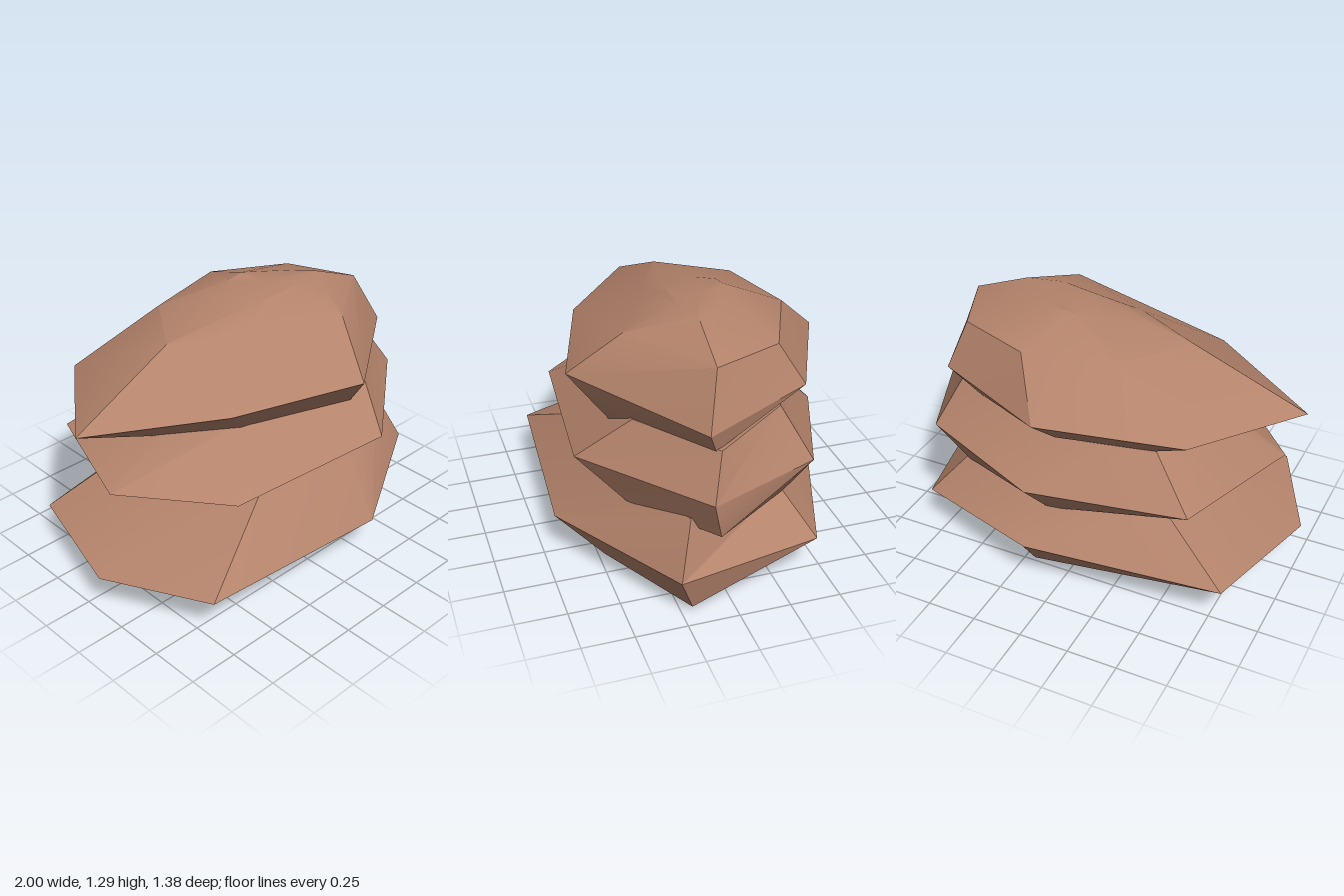
import * as THREE from 'three';
import { toCreasedNormals } from 'three/addons/utils/BufferGeometryUtils.js';

// Each ring runs: left, front-left, front-right, right, back-right, back, back-left
// (as seen from the front). Rings are listed from the bottom up.
const LOWER = [
  [[-0.47, 0.04, 0.08], [-0.31, 0.015, 0.44], [0.4, 0.035, 0.48], [0.91, 0.03, 0.2],
    [0.62, 0.045, -0.31], [0.2, 0.0, -0.48], [-0.5, 0.03, -0.38]],
  [[-1, 0.2, 0.1], [-0.75, 0.215, 0.62], [0.26, 0.21, 0.69], [0.97, 0.215, 0.27],
    [0.82, 0.21, -0.45], [0.14, 0.25, -0.69], [-0.82, 0.2, -0.54]],
  [[-0.47, 0.44, 0.08], [-0.25, 0.46, 0.4], [0.36, 0.45, 0.43], [0.85, 0.475, 0.19],
    [0.64, 0.42, -0.32], [0.12, 0.44, -0.47], [-0.45, 0.44, -0.36]],
];
const MIDDLE = [
  [[-0.47, 0.44, 0.08], [-0.25, 0.45, 0.35], [0.53, 0.41, 0.4], [0.95, 0.42, 0.08],
    [0.64, 0.39, -0.34], [0.1, 0.37, -0.5], [-0.42, 0.4, -0.38]],
  [[-0.89, 0.615, 0.08], [-0.51, 0.595, 0.53], [0.39, 0.61, 0.61], [1, 0.62, 0.13],
    [0.77, 0.62, -0.43], [0.13, 0.575, -0.68], [-0.65, 0.6, -0.57]],
  [[-0.5, 0.79, 0.02], [-0.2, 0.82, 0.28], [0.51, 0.83, 0.36], [0.88, 0.82, 0.06],
    [0.66, 0.87, -0.3], [0.12, 0.83, -0.41], [-0.38, 0.81, -0.36]],
];
const UPPER = [
  [[-0.57, 0.755, 0], [-0.25, 0.79, 0.28], [0.35, 0.76, 0.43], [0.86, 0.81, 0.08],
    [0.55, 0.81, -0.34], [0.06, 0.79, -0.49], [-0.4, 0.78, -0.38]],
  [[-1, 0.93, 0], [-0.43, 0.97, 0.4], [0.24, 0.965, 0.6], [0.9, 0.91, 0.12],
    [0.68, 0.97, -0.41], [0.07, 0.965, -0.69], [-0.61, 0.94, -0.52]],
  [[-0.43, 1.18, -0.03], [-0.1, 1.19, 0.14], [0.35, 1.19, 0.35], [0.77, 1.17, 0.05],
    [0.63, 1.17, -0.29], [0.24, 1.19, -0.46], [-0.2, 1.18, -0.36]],
  [[0, 1.26, -0.1], [0.12, 1.265, 0.07], [0.3, 1.28, 0.09], [0.48, 1.285, 0.04],
    [0.43, 1.275, -0.05], [0.19, 1.295, -0.18], [0.1, 1.28, -0.18]],
];

// Joins the rings with facets and closes both ends with a fan.
function slabGeometry(rings) {
  const n = rings[0].length;
  const centre = ring => [0, 1, 2].map(k => ring.reduce((s, p) => s + p[k], 0) / n);
  const points = [...rings.flat(), centre(rings[0]), centre(rings[rings.length - 1])];
  const bottom = points.length - 2, top = points.length - 1;
  const last = (rings.length - 1) * n;
  const index = [];
  for (let i = 0; i < n; i++) {
    const j = (i + 1) % n;
    for (let r = 0; r < last; r += n) {
      index.push(r + i, r + j, r + n + j, r + i, r + n + j, r + n + i);
    }
    index.push(bottom, j, i, top, last + i, last + j);
  }
  const geometry = new THREE.BufferGeometry();
  geometry.setAttribute('position', new THREE.Float32BufferAttribute(points.flat(), 3));
  geometry.setIndex(index);
  return toCreasedNormals(geometry, 0.5);
}

export function createModel() {
  const model = new THREE.Group();
  model.name = 'rockStack';
  const stone = new THREE.MeshStandardMaterial({ color: 0xb4836b });
  stone.name = 'reddish brown stone';

  // Three stacked slabs, each widest at its middle ring
  for (const [name, rings] of Object.entries({ lowerSlab: LOWER, middleSlab: MIDDLE, upperSlab: UPPER })) {
    const slab = new THREE.Mesh(slabGeometry(rings), stone);
    slab.name = name;
    model.add(slab);
  }
  return model;
}
